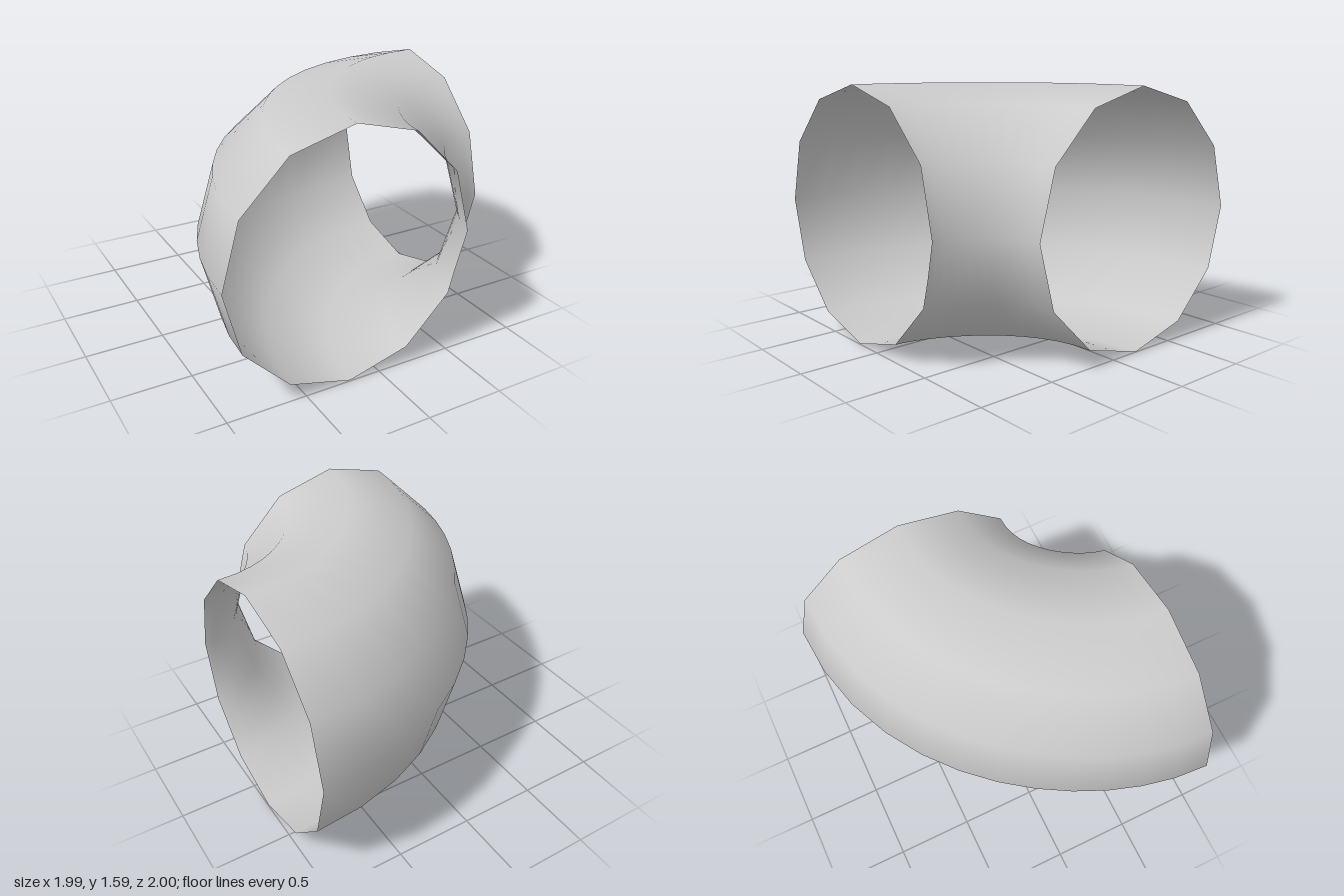
import * as THREE from 'three';

const SIDES = 12, STEPS = 12, RADIUS = 0.797;

// Sweeps a 12-sided ring along a flat curve (x, z) at even curve parameters.
function sweepPipe(curve, height) {
  const positions = [], normals = [], index = [];
  for (let i = 0; i <= STEPS; i++) {
    const c = curve.getPoint(i / STEPS);
    const t = curve.getTangent(i / STEPS);
    for (let j = 0; j < SIDES; j++) {
      const a = (j / SIDES) * Math.PI * 2;
      // radial direction, starting at the outer side of the bend
      const n = [-t.y * Math.cos(a), Math.sin(a), t.x * Math.cos(a)];
      normals.push(...n);
      positions.push(c.x + RADIUS * n[0], height + RADIUS * n[1], c.y + RADIUS * n[2]);
      if (i < STEPS) {
        const k = (j + 1) % SIDES;
        const p = i * SIDES + j, q = i * SIDES + k;
        index.push(p, p + SIDES, q, p + SIDES, q + SIDES, q);
      }
    }
  }
  const g = new THREE.BufferGeometry();
  g.setAttribute('position', new THREE.Float32BufferAttribute(positions, 3));
  g.setAttribute('normal', new THREE.Float32BufferAttribute(normals, 3));
  g.setIndex(index);
  return g;
}

export function createModel() {
  const group = new THREE.Group();
  group.name = 'pipeElbow';

  // Centre line of the quarter bend, from the left opening to the front opening
  const ox = 0.997, oz = 0.994, bend = 1.197;
  const path = new THREE.CubicBezierCurve(
    new THREE.Vector2(ox, oz - bend),
    new THREE.Vector2(ox - 0.783, oz - bend),
    new THREE.Vector2(ox - bend, oz - 0.404),
    new THREE.Vector2(ox - bend, oz)
  );

  // Thin open shell, seen from inside and outside
  const material = new THREE.MeshStandardMaterial({ color: 0xcccccc, side: THREE.DoubleSide });
  const pipe = new THREE.Mesh(sweepPipe(path, RADIUS), material);
  pipe.name = 'bentPipe';
  group.add(pipe);
  return group;
}
